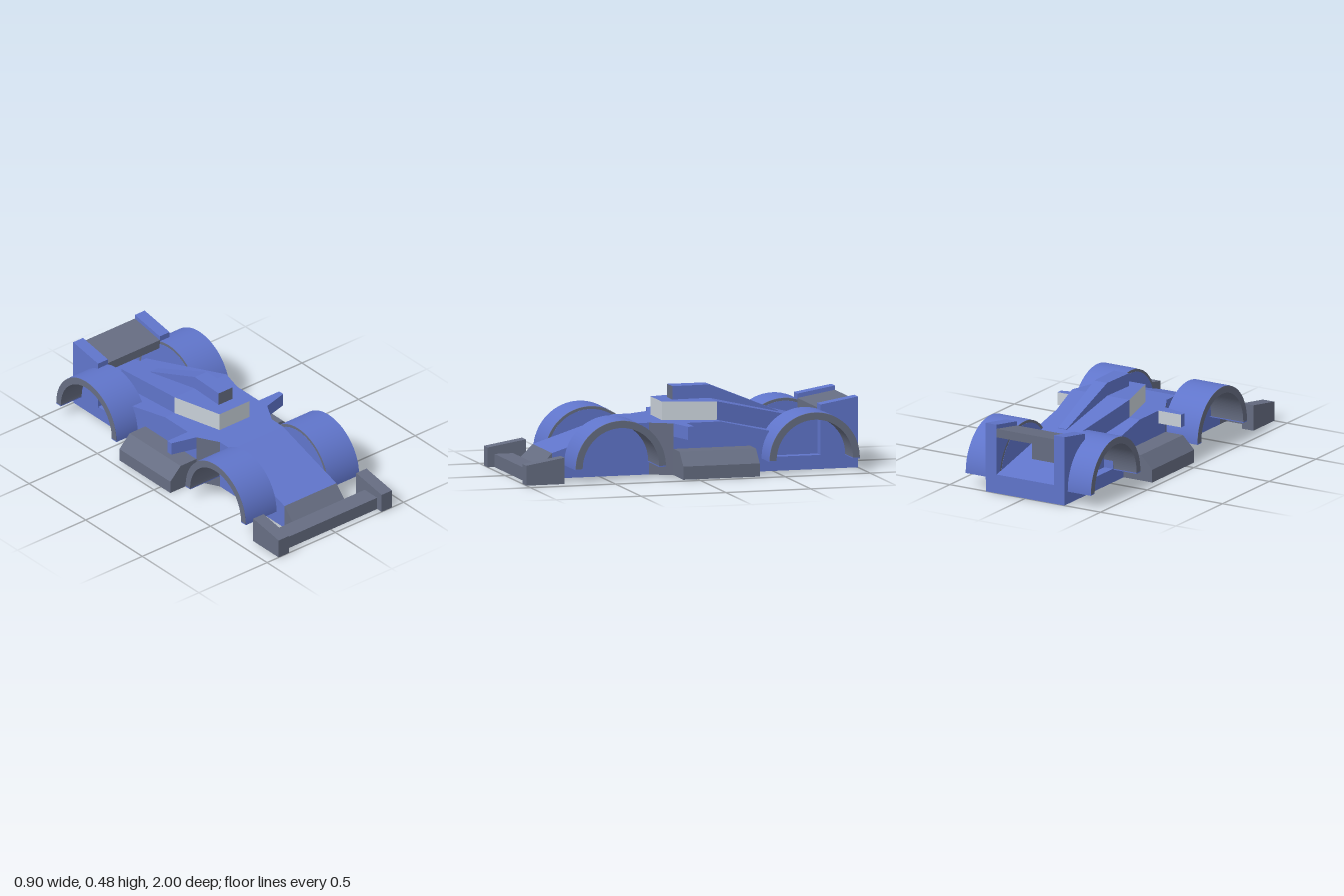
import * as THREE from 'three';

const mat = (name, color) => new THREE.MeshStandardMaterial({ name, color });

export function createModel() {
  const blue = mat('blue paint', 0x6075cb);
  const gray = mat('dark gray', 0x666d82);
  const silver = mat('silver glass', 0xc8d0d8);
  const car = new THREE.Group();
  car.name = 'raceCar';

  // Upright prism over a convex plan; each corner is [x, z, bottom, top].
  // sideMats overrides the material of single walls by index.
  // Parts that stand on the ground get a gray underside.
  function prism(name, corners, base, sideMats = {}, s = 1) {
    const pts = corners.map(([x, z, lo, hi]) => [x * s, z, lo, hi]);
    const n = pts.length;
    let area = 0;
    pts.forEach((p, i) => {
      const q = pts[(i + 1) % n];
      area += p[1] * q[0] - p[0] * q[1];
    });
    const low = pts.map(([x, z, y]) => [x, y, z]);
    const high = pts.map(([x, z, , y]) => [x, y, z]);
    const pos = [], mats = [], geo = new THREE.BufferGeometry();
    const tri = (a, b, c) => pos.push(...a, ...(area > 0 ? [...b, ...c] : [...c, ...b]));
    const paint = (m, count) => {
      if (!mats.includes(m)) mats.push(m);
      geo.addGroup(pos.length / 3, count, mats.indexOf(m));
    };
    paint(base, (n - 2) * 3);
    for (let i = 1; i < n - 1; i++) tri(high[0], high[i], high[i + 1]);
    paint(pts[0][2] === 0 ? gray : base, (n - 2) * 3);
    for (let i = 1; i < n - 1; i++) tri(low[0], low[i + 1], low[i]);
    for (let i = 0; i < n; i++) {
      const j = (i + 1) % n;
      paint(sideMats[i] || base, 6);
      tri(low[i], low[j], high[j]);
      tri(low[i], high[j], high[i]);
    }
    geo.setAttribute('position', new THREE.Float32BufferAttribute(pos, 3));
    geo.computeVertexNormals();
    const mesh = new THREE.Mesh(geo, mats.length > 1 ? mats : base);
    mesh.name = name;
    car.add(mesh);
  }

  // Block between two stations along z: [z, half width, bottom, top]
  const span = (name, [z1, w1, lo1, hi1], [z2, w2, lo2, hi2], base, sides) =>
    prism(name, [[-w1, z1, lo1, hi1], [w1, z1, lo1, hi1], [w2, z2, lo2, hi2], [-w2, z2, lo2, hi2]], base, sides);

  // Block between two x values with its own top heights front and back
  const slab = (name, x1, x2, z1, z2, lo, hi1, hi2, base, s) =>
    prism(name, [[x1, z1, lo, hi1], [x2, z1, lo, hi1], [x2, z2, lo, hi2], [x1, z2, lo, hi2]], base, {}, s);

  // Central body
  span('noseTip', [0.85, 0.19, 0, 0.075], [0.78, 0.19, 0, 0.145], gray);
  span('hood', [0.78, 0.19, 0, 0.145], [0.31, 0.19, 0, 0.295], blue);
  span('midBody', [0.31, 0.19, 0, 0.295], [-0.19, 0.19, 0, 0.295], blue);
  span('rearDeck', [-0.19, 0.19, 0, 0.295], [-1, 0.19, 0, 0.11], blue);

  // Cockpit, engine cover and air scoop
  span('windscreen', [0.11, 0.11, 0.29, 0.4], [-0.19, 0.19, 0.29, 0.4], blue, { 0: silver, 1: silver, 3: silver });
  span('engineCover', [-0.19, 0.19, 0.28, 0.4], [-0.78, 0.09, 0.14, 0.262], blue, { 2: gray });
  span('scoop', [0.03, 0.05, 0.39, 0.476], [-0.19, 0.043, 0.39, 0.476], blue, { 0: gray });
  span('scoopTail', [-0.19, 0.043, 0.39, 0.476], [-0.6, 0.028, 0.28, 0.308], blue);

  // Front and rear wings
  span('frontWing', [0.96, 0.34, 0, 0.075], [0.85, 0.34, 0, 0.075], gray);
  span('rearWing', [-0.78, 0.19, 0.29, 0.342], [-1, 0.19, 0.33, 0.38], gray);

  // Half-ring section for the wheel arches
  const ring = new THREE.Shape();
  ring.absarc(0, 0, 0.265, 0, Math.PI, false);
  ring.absarc(0, 0, 0.225, Math.PI, 0, true);
  const disc = new THREE.Shape();
  disc.absarc(0, 0, 0.25, 0, Math.PI, false);
  const extrude = (shape, depth) =>
    new THREE.ExtrudeGeometry(shape, { depth, bevelEnabled: false, curveSegments: 32 }).rotateY(Math.PI / 2);

  function arch(name, s, z) {
    const g = new THREE.Group();
    g.name = name;
    const add = (part, geo, m, x) => {
      const mesh = new THREE.Mesh(geo, m);
      mesh.name = part;
      mesh.position.x = x;
      g.add(mesh);
    };
    add('archLining', extrude(ring, 0.225), gray, s > 0 ? 0.19 : -0.415);
    add('archWall', extrude(disc, 0.012), blue, s > 0 ? 0.189 : -0.201);
    const skin = new THREE.CylinderGeometry(0.267, 0.267, 0.225, 32, 1, true, 0, Math.PI);
    add('archSkin', skin.rotateZ(Math.PI / 2), blue, s * 0.3025);
    // painted lower ends of the arch
    for (const e of [1, -1])
      add('archFoot', new THREE.BoxGeometry(0.225, 0.006, 0.042).translate(0, -0.003, e * 0.246), blue, s * 0.3025);
    g.position.set(0, 0.08, z);
    car.add(g);
  }

  for (const s of [1, -1]) {
    const side = s > 0 ? 'left' : 'right';
    arch(side + 'FrontArch', s, 0.4425);
    arch(side + 'RearArch', s, -0.7);

    // Widened flanks with an angled intake
    prism(side + 'Intake', [[0.19, 0.21, 0, 0.295], [0.26, 0.085, 0, 0.295], [0.19, 0.085, 0, 0.295]], blue, { 0: gray }, s);
    slab(side + 'Flank', 0.19, 0.26, 0.085, -0.19, 0, 0.295, 0.295, blue, s);
    slab(side + 'RearFlank', 0.19, 0.26, -0.19, -0.48, 0, 0.295, 0.229, blue, s);
    slab(side + 'Sill', 0.19, 0.26, -0.48, -1, 0, 0.08, 0.08, blue, s);

    // Side pod with sloped outer edge
    slab(side + 'Pod', 0.26, 0.375, 0.085, -0.365, 0, 0.15, 0.15, gray, s);
    prism(side + 'PodEdge', [[0.375, 0.085, 0, 0.15], [0.45, 0.085, 0, 0.075], [0.45, -0.365, 0, 0.075], [0.375, -0.365, 0, 0.15]], gray, {}, s);

    // Mirror with reflective back
    prism(side + 'Mirror', [[0.26, 0.085, 0.22, 0.295], [0.41, 0.045, 0.22, 0.295], [0.41, 0.01, 0.22, 0.295], [0.26, 0.01, 0.22, 0.295]], blue, { 2: silver }, s);

    // Wing end plates
    slab(side + 'FrontEndPlate', 0.34, 0.415, 1, 0.775, 0, 0.113, 0.15, gray, s);
    slab(side + 'RearFin', 0.19, 0.262, -0.78, -1, 0.07, 0.367, 0.404, blue, s);
  }
  return car;
}
